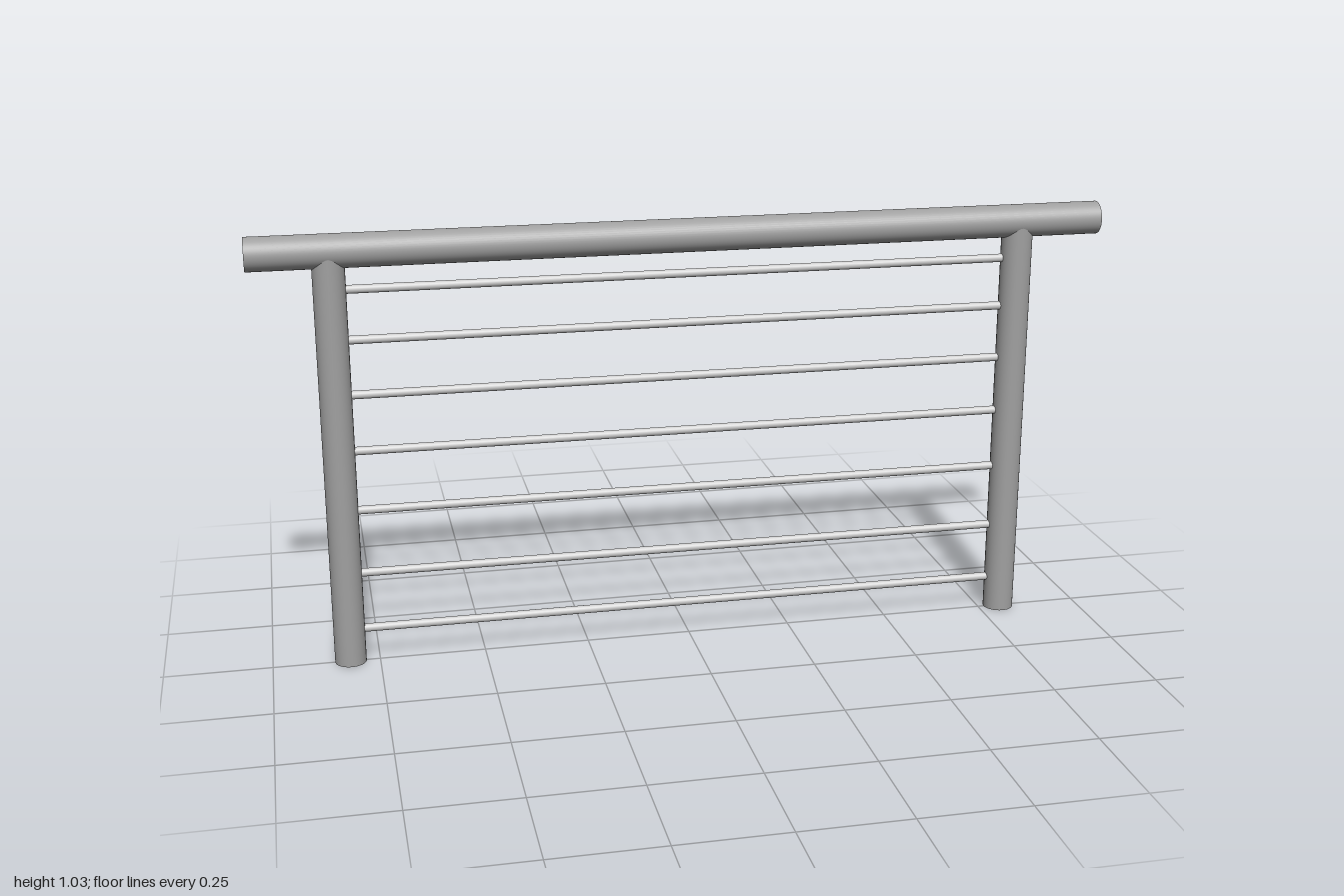
import * as THREE from 'three';

const frameMaterial = new THREE.MeshStandardMaterial({ color: 0xa0a0a0 });
const barMaterial = new THREE.MeshStandardMaterial({ color: 0xcccccc });

function rod(name, radius, length, sides, material) {
  const mesh = new THREE.Mesh(new THREE.CylinderGeometry(radius, radius, length, sides), material);
  mesh.name = name;
  return mesh;
}

export function createModel() {
  const model = new THREE.Group();
  model.name = 'railing';

  // Round handrail along the top
  const railY = 0.99;
  const handrail = rod('handrail', 0.039, 2, 48, frameMaterial);
  handrail.rotation.z = -Math.PI / 2;
  handrail.position.y = railY;
  model.add(handrail);

  // Upright posts, ending inside the handrail
  const postX = { rightPost: -0.819, leftPost: 0.802 };
  for (const [name, x] of Object.entries(postX)) {
    const post = rod(name, 0.0368, railY, 48, frameMaterial);
    post.position.set(x, railY / 2, 0);
    model.add(post);
  }

  // Thin, lighter horizontal bars, their ends set just inside the posts
  const barLength = postX.leftPost - postX.rightPost - 0.06;
  const barX = (postX.leftPost + postX.rightPost) / 2;
  [0.082, 0.222, 0.377, 0.521, 0.655, 0.784, 0.901].forEach((y, i) => {
    const bar = rod(`bar${i + 1}`, 0.0098, barLength, 24, barMaterial);
    bar.rotation.z = -Math.PI / 2;
    bar.position.set(barX, y, 0);
    model.add(bar);
  });

  return model;
}
